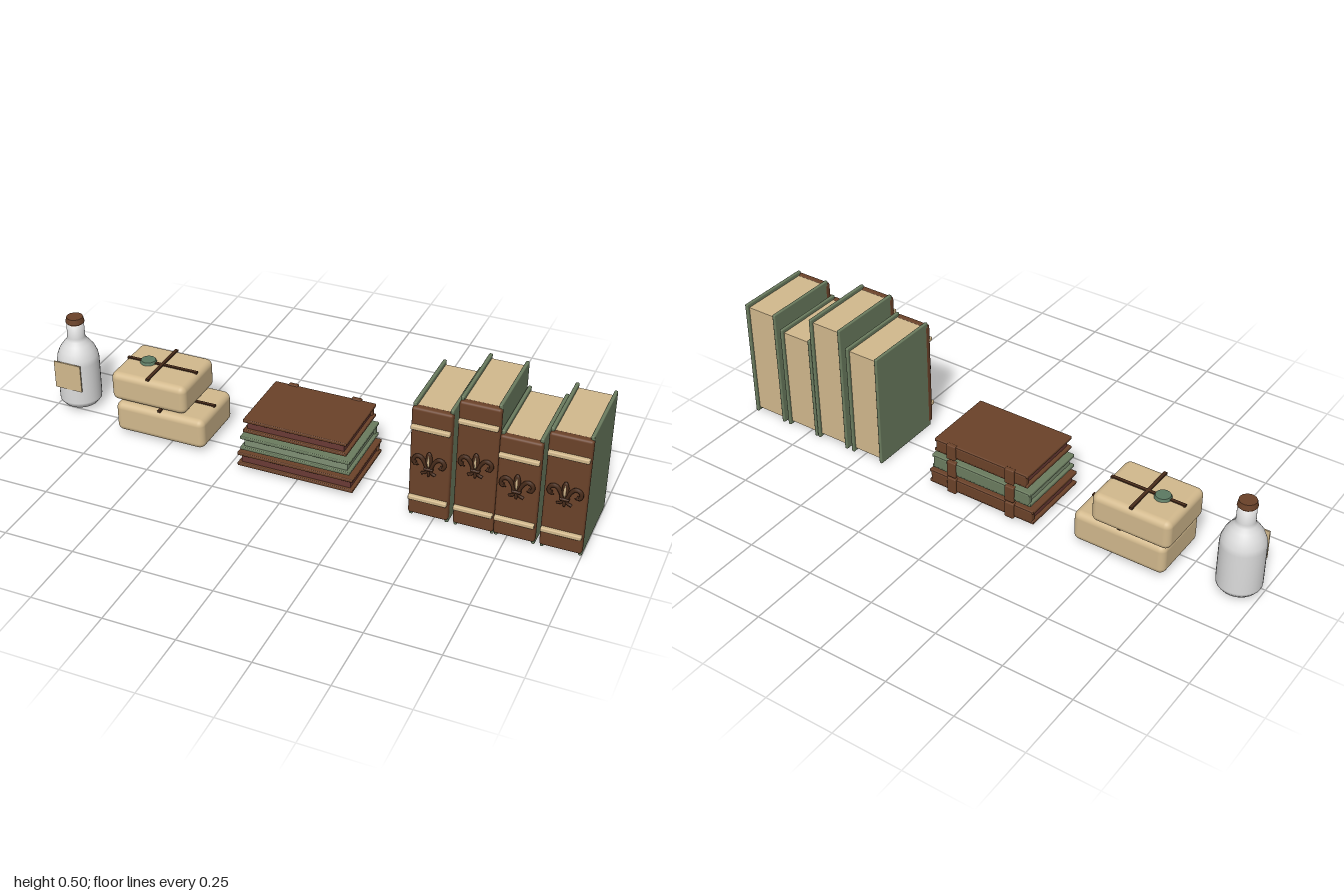
import * as THREE from 'three';
import { RoundedBoxGeometry } from 'three/addons/geometries/RoundedBoxGeometry.js';

const mat = (name, color, side = THREE.FrontSide) => {
  const m = new THREE.MeshStandardMaterial({ color, side });
  m.name = name;
  return m;
};

export function createModel() {
  const leather = mat('brown leather', 0x6b4229);
  const green = mat('green cloth', 0x6b7c5f);
  const paper = mat('cream paper', 0xd2b98d);
  const dark = mat('dark bronze', 0x472b1a);
  const redEdge = mat('red page edge', 0x6a3a35);
  const greenEdge = mat('green page edge', 0x7f9074);
  const glass = mat('pale glass', 0xdcdcdc, THREE.DoubleSide);
  const wax = mat('green wax', 0x5c7a62);

  const model = new THREE.Group();
  model.name = 'bookshelfProps';

  const add = (parent, name, geo, m, x = 0, y = 0, z = 0) => {
    const mesh = new THREE.Mesh(geo, m);
    mesh.name = name;
    mesh.position.set(x, y, z);
    parent.add(mesh);
    return mesh;
  };
  // Box given by its lower and upper limits, optionally rounded
  const span = (parent, name, m, [x0, x1], [y0, y1], [z0, z1], r = 0, seg = 2) => {
    const s = [x1 - x0, y1 - y0, z1 - z0];
    const geo = r ? new RoundedBoxGeometry(...s, seg, r) : new THREE.BoxGeometry(...s);
    return add(parent, name, geo, m, (x0 + x1) / 2, (y0 + y1) / 2, (z0 + z1) / 2);
  };
  const group = (name) => {
    const g = new THREE.Group();
    g.name = name;
    model.add(g);
    return g;
  };

  // Lily ornament for a spine: central petal, curling side petals, clasp and foot
  const makeOrnament = () => {
    const g = new THREE.Group();
    g.name = 'spineOrnament';
    const petal = add(g, 'centrePetal', new THREE.SphereGeometry(1, 10, 8), dark, 0, 0.016, 0);
    petal.scale.set(0.012, 0.032, 0.008);
    const tip = add(g, 'petalHighlight', new THREE.SphereGeometry(1, 8, 6), paper, 0, 0.014, 0.003);
    tip.scale.set(0.005, 0.024, 0.007);
    for (const s of [-1, 1]) {
      const curl = new THREE.CatmullRomCurve3([
        [0.006, -0.02], [0.014, 0.004], [0.03, 0.024], [0.046, 0.022], [0.053, 0.006], [0.044, -0.006], [0.036, 0],
      ].map(([x, y]) => new THREE.Vector3(s * x, y, 0)));
      add(g, 'sidePetal', new THREE.TubeGeometry(curl, 18, 0.007, 6), dark);
      const foot = new THREE.CatmullRomCurve3([
        [0.003, -0.018], [0.01, -0.032], [0.024, -0.038],
      ].map(([x, y]) => new THREE.Vector3(s * x, y, 0)));
      add(g, 'foot', new THREE.TubeGeometry(foot, 8, 0.005, 6), dark);
    }
    add(g, 'clasp', new RoundedBoxGeometry(0.032, 0.01, 0.016, 2, 0.004), dark, 0, -0.017, 0.001);
    const stem = add(g, 'stem', new THREE.SphereGeometry(1, 8, 6), dark, 0, -0.032, 0);
    stem.scale.set(0.006, 0.016, 0.006);
    return g;
  };

  // Four upright books: left edge, right edge, height, ornament height
  [
    [0.415, 0.551, 0.435, 0.225],
    [0.57, 0.706, 0.495, 0.262],
    [0.708, 0.845, 0.405, 0.22],
    [0.862, 1.0, 0.455, 0.235],
  ].forEach(([x0, x1, h, oy], i) => {
    const b = group('uprightBook' + (i + 1));
    const t = 0.012;
    span(b, 'leftBoard', green, [x0, x0 + t], [0, h], [-0.16, 0.131], 0.004);
    span(b, 'rightBoard', green, [x1 - t, x1], [0, h], [-0.16, 0.131], 0.004);
    span(b, 'pages', paper, [x0 + t, x1 - t], [0.014, h - 0.014], [-0.15, 0.118]);
    span(b, 'spine', leather, [x0 - 0.001, x1 + 0.001], [0.014, h - 0.012], [0.115, 0.143], 0.009, 3);
    for (const y of [0.083, h - 0.08]) {
      span(b, 'spineBand', paper, [x0 + 0.002, x1 - 0.002], [y - 0.008, y + 0.008], [0.139, 0.157], 0.004);
    }
    const o = makeOrnament();
    o.position.set((x0 + x1) / 2, oy, 0.15);
    b.add(o);
  });

  // Three flat books, spines to the back, with two straps each
  [
    [-0.218, 0.208, 0.012, 0.066, leather, redEdge],
    [-0.206, 0.196, 0.08, 0.134, green, greenEdge],
    [-0.194, 0.184, 0.153, 0.205, leather, redEdge],
  ].forEach(([x0, x1, y0, y1, cover, edge], i) => {
    const b = group('flatBook' + (i + 1));
    const t = 0.012;
    span(b, 'lowerBoard', cover, [x0, x1], [y0, y0 + t], [-0.155, 0.117], 0.003);
    span(b, 'upperBoard', cover, [x0, x1], [y1 - t, y1], [-0.155, 0.117], 0.003);
    span(b, 'pages', edge, [x0 + 0.012, x1 - 0.012], [y0 + t, y1 - t], [-0.145, 0.105]);
    span(b, 'spine', cover, [x0 + 0.006, x1 - 0.006], [y0 + 0.004, y1 - 0.004], [-0.157, -0.135], 0.006);
    for (const x of [-0.125, 0.112]) {
      span(b, 'strap', leather, [x - 0.018, x + 0.018], [y0 - 0.005, y1 + 0.003], [-0.164, -0.146], 0.004);
    }
  });

  // Two wrapped parcels with twine laid over the top
  [
    [-0.706, -0.362, 0.014, 0.129, -0.145, 0.09, -0.534, -0.028],
    [-0.724, -0.434, 0.131, 0.241, -0.156, 0.08, -0.579, -0.04],
  ].forEach(([x0, x1, y0, y1, z0, z1, tx, tz], i) => {
    const p = group('parcel' + (i + 1));
    span(p, 'wrapping', paper, [x0, x1], [y0, y1], [z0, z1], 0.024, 4);
    span(p, 'twineAcross', dark, [x0 + 0.008, x1 - 0.008], [y1 - 0.003, y1 + 0.004], [tz - 0.006, tz + 0.006]);
    span(p, 'twineAlong', dark, [tx - 0.006, tx + 0.006], [y1 - 0.003, y1 + 0.005], [z0 + 0.006, z1 - 0.006]);
    if (i === 1) add(p, 'seal', new THREE.CylinderGeometry(0.026, 0.03, 0.01, 16), wax, -0.634, y1 + 0.005, tz);
  });

  // Bottle with stopper and flat label
  const bottle = group('bottle');
  bottle.position.set(-0.924, 0, -0.04);
  const profile = [
    [0, 0.014], [0.055, 0.014], [0.064, 0.018], [0.075, 0.032], [0.076, 0.04], [0.076, 0.19], [0.073, 0.21],
    [0.063, 0.235], [0.048, 0.256], [0.036, 0.27], [0.032, 0.282], [0.031, 0.335], [0, 0.335],
  ].map(([r, y]) => new THREE.Vector2(r, y));
  add(bottle, 'glassBody', new THREE.LatheGeometry(profile, 32), glass);
  add(bottle, 'stopper', new THREE.CylinderGeometry(0.029, 0.029, 0.03, 12), leather, 0, 0.333, 0);
  add(bottle, 'stopperRim', new THREE.CylinderGeometry(0.03, 0.034, 0.02, 12), leather, 0, 0.35, 0);
  span(bottle, 'label', paper, [-0.053, 0.053], [0.1, 0.206], [0.074, 0.079]);

  return model;
}
